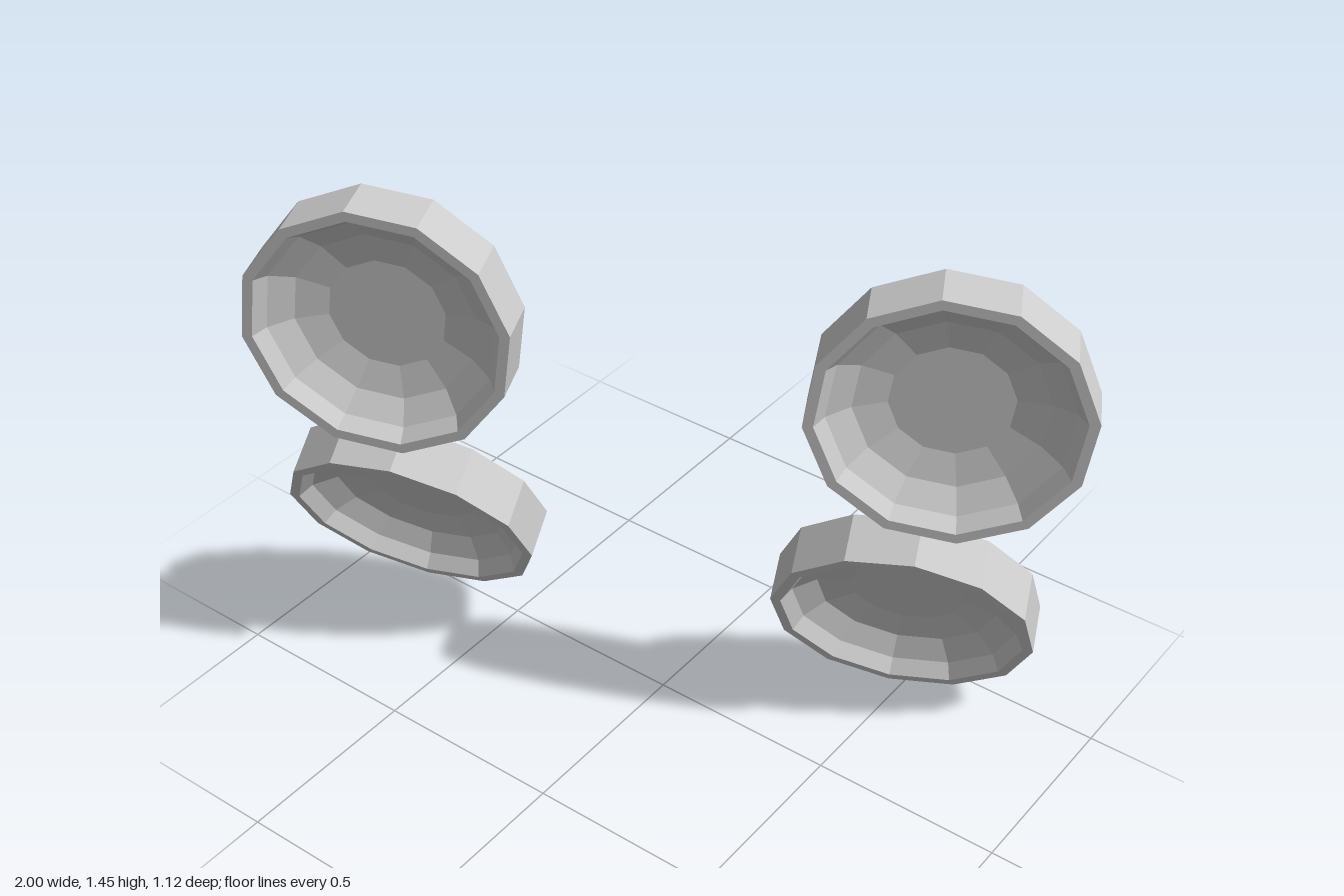
import * as THREE from 'three';

const SIDES = 12;
const R = 0.336;
const HALF = 0.065; // half the thickness

export function createModel() {
  const model = new THREE.Group();
  model.name = 'dishes';
  const material = new THREE.MeshStandardMaterial({ color: 0xcccccc, flatShading: true });

  // Closed profile: flat back, straight side, narrow rim, rounded bowl, flat floor
  const profile = [
    [0, -HALF], [R, -HALF], [R, HALF], [0.31, HALF],
    [0.287, HALF - 0.04], [0.23, HALF - 0.08], [0.148, HALF - 0.1], [0, HALF - 0.1],
  ].map(([r, y]) => new THREE.Vector2(r, y));
  const geometry = new THREE.LatheGeometry(profile, SIDES).rotateX(Math.PI / 2);

  // Each dish: name, centre, then yaw, downward pitch and roll in degrees
  const dishes = [
    ['upperRightDish', [-0.56, 1.12, 0.36], 24.4, 0, 22],
    ['upperLeftDish', [0.67, 1.073, -0.2], 27.7, 0, 23],
    ['lowerRightDish', [-0.67, 0.415, 0.18], 18.4, 28, 6],
    ['lowerLeftDish', [0.523, 0.338, -0.325], 23.2, 23.6, 6],
  ];
  const rad = THREE.MathUtils.degToRad;
  for (const [name, centre, yaw, pitch, roll] of dishes) {
    const dish = new THREE.Mesh(geometry, material);
    dish.name = name;
    dish.position.set(...centre);
    dish.rotation.set(rad(pitch), rad(yaw), rad(-roll), 'YXZ');
    model.add(dish);
  }
  return model;
}
